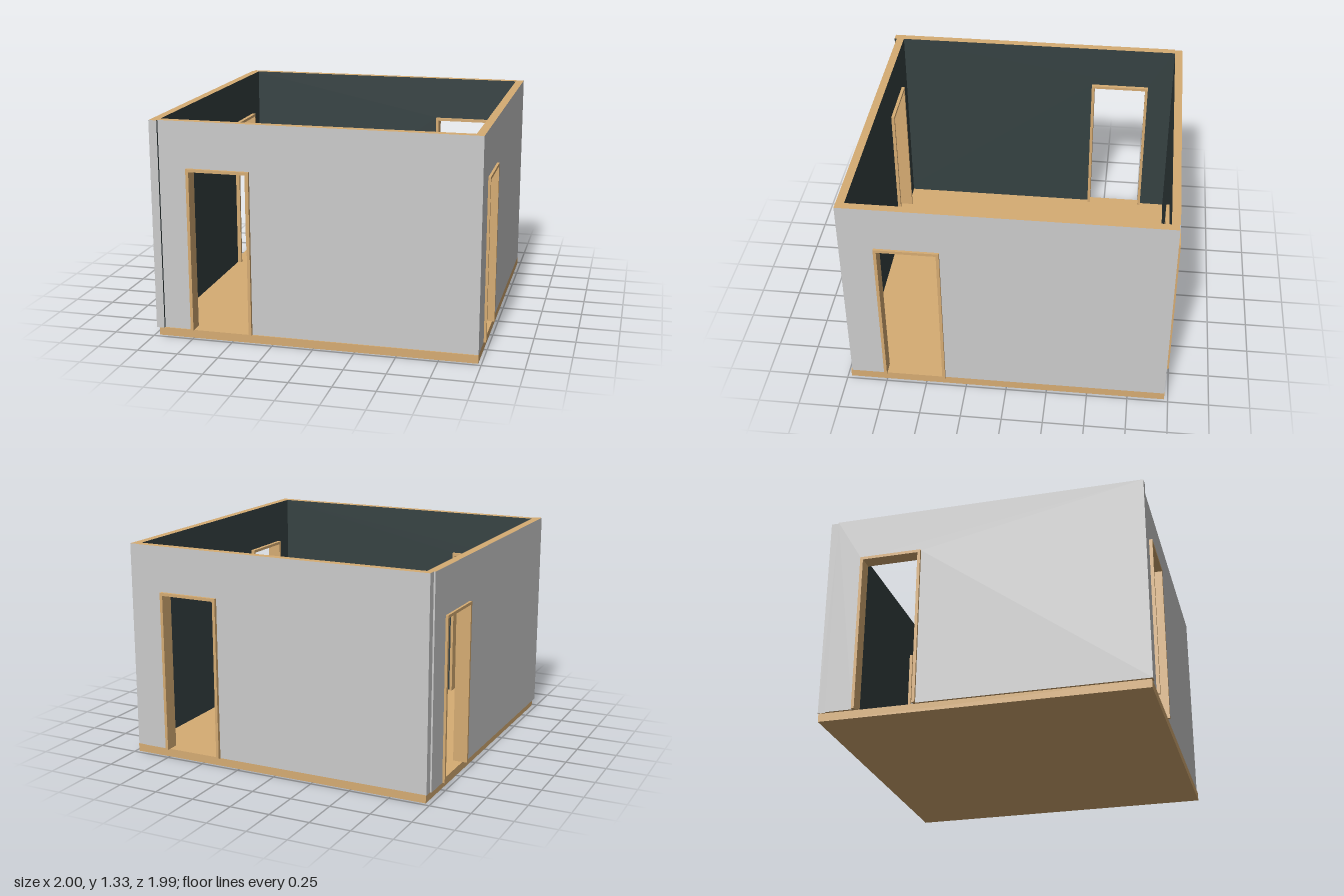
import * as THREE from 'three';

const FLOOR_Y = 0.05, WALL_TOP = 1.33, WALL_T = 0.05;
const DOOR = { x0: -0.765, x1: -0.38, top: 1.05, jamb: 0.018, depth: 0.09 };

const grey = new THREE.MeshStandardMaterial({ color: 0xcccccc });
const dark = new THREE.MeshStandardMaterial({ color: 0x354142 });
const wood = new THREE.MeshStandardMaterial({ color: 0xd6ac73 });

// Upright outline from x0 to x1 with a doorway notched out of its bottom edge
function archShape(x0, x1, top, d0, d1, dTop) {
  return new THREE.Shape([
    [x0, FLOOR_Y], [d0, FLOOR_Y], [d0, dTop], [d1, dTop],
    [d1, FLOOR_Y], [x1, FLOOR_Y], [x1, top], [x0, top],
  ].map(([x, y]) => new THREE.Vector2(x, y)));
}

function slab(shape, depth, outer) {
  const g = new THREE.ExtrudeGeometry(shape, { depth, bevelEnabled: false });
  return g.translate(0, 0, outer - depth);
}

// Wall: grey outside and ends, dark inside, wooden top
function makeWall(x0, x1, outer) {
  const g = slab(archShape(x0, x1, WALL_TOP, DOOR.x0, DOOR.x1, DOOR.top), WALL_T, outer);
  const n = g.attributes.normal;
  g.clearGroups();
  for (let i = 0; i < n.count; i += 3) {
    const inside = n.getZ(i) < -0.5, level = Math.abs(n.getY(i)) > 0.5;
    g.addGroup(i, 3, inside ? 1 : level ? 2 : 0);
  }
  return new THREE.Mesh(g, [grey, dark, wood]);
}

// Door frame: two jambs and a head, standing proud of both wall faces
function makeFrame(outer) {
  const { x0, x1, top, jamb, depth } = DOOR;
  return new THREE.Mesh(slab(archShape(x0, x1, top, x0 + jamb, x1 - jamb, top - jamb), depth, outer), wood);
}

export function createModel() {
  const room = new THREE.Group();
  room.name = 'room';

  const floor = new THREE.Mesh(new THREE.BoxGeometry(1.95, FLOOR_Y, 1.955), wood);
  floor.name = 'floor';
  floor.position.set(0.005, FLOOR_Y / 2, 0);
  room.add(floor);

  // Four sides, each turned about the centre and overlapping the next at a corner
  const sides = [
    { name: 'front', turn: 0, x0: -0.935, x1: 0.98, wall: 0.97, frame: 0.99 },
    { name: 'left', turn: Math.PI / 2, x0: -0.92, x1: 0.975, wall: 0.98, frame: 0.995 },
    { name: 'back', turn: Math.PI, x0: -0.93, x1: 0.975, wall: 0.98, frame: 1.0 },
    { name: 'right', turn: -Math.PI / 2, x0: -0.93, x1: 0.985, wall: 0.985, frame: 1.0 },
  ];
  for (const s of sides) {
    const side = new THREE.Group();
    side.name = s.name + 'Side';
    const wall = makeWall(s.x0, s.x1, s.wall);
    wall.name = s.name + 'Wall';
    const frame = makeFrame(s.frame);
    frame.name = s.name + 'DoorFrame';
    side.add(wall, frame);
    side.rotation.y = s.turn;
    room.add(side);
  }
  return room;
}
